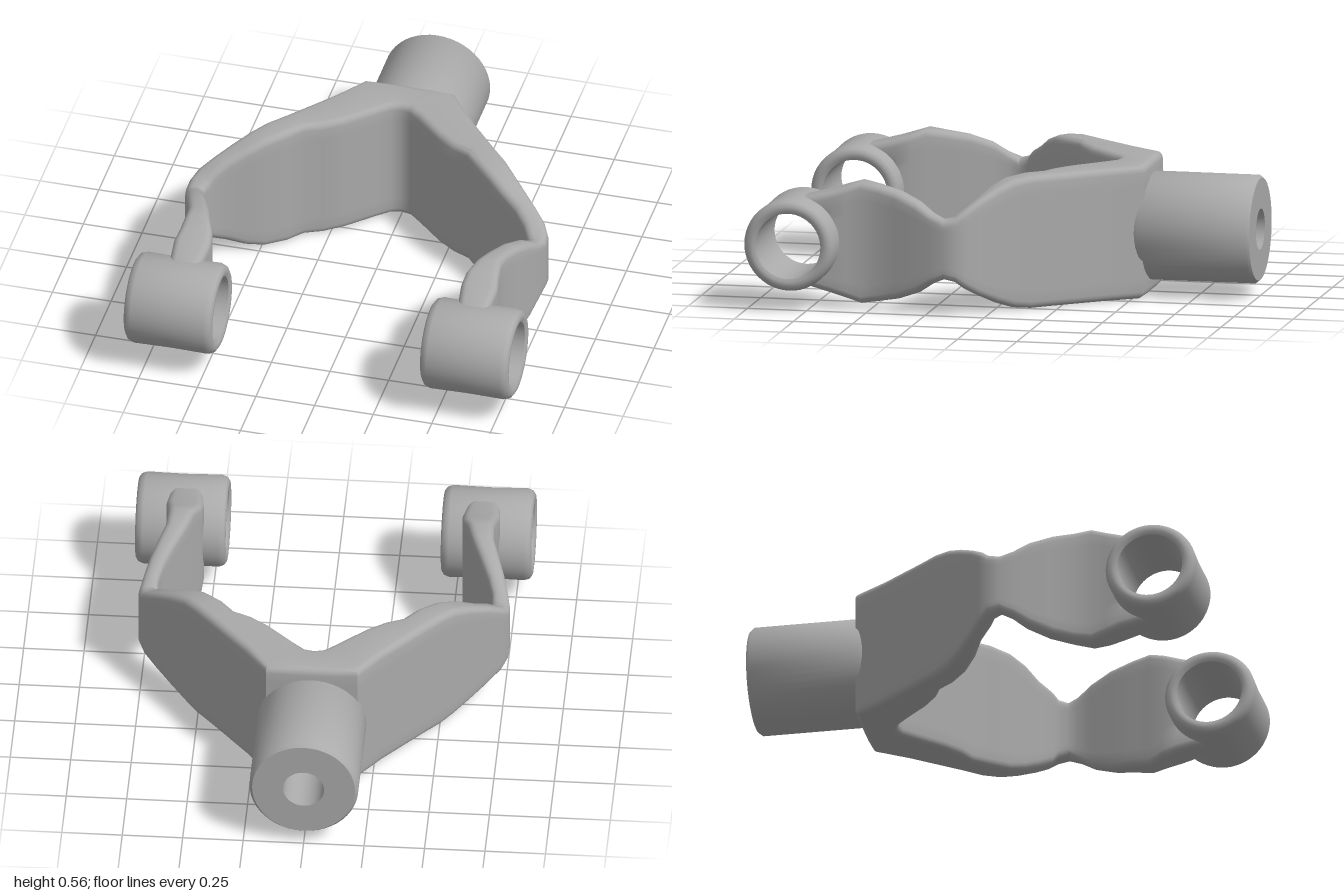
import * as THREE from 'three';
import { toCreasedNormals } from 'three/addons/utils/BufferGeometryUtils.js';

const AXIS_Y = 0.284; // common height of the hub, fork and eyelets
const EYE_Z = 0.815;
const EYE_X = 0.632;

// Closed lathe: [radius, height] pairs around the profile, bottom to top on the outside.
function turned(pairs) {
  const points = pairs.map(([r, h]) => new THREE.Vector2(r, h));
  return toCreasedNormals(new THREE.LatheGeometry(points, 48), 0.7);
}

// Rounded rectangle as [across, up] points, counter-clockwise.
function roundedSection(width, halfHeight) {
  const r = Math.min(0.03, width * 0.42);
  const w = width / 2 - r, h = halfHeight - r;
  const ring = [];
  const corners = [[w, h], [-w, h], [-w, -h], [w, -h]];
  corners.forEach(([cx, cy], k) => {
    for (let i = 0; i <= 4; i++) {
      const a = (k + i / 4) * Math.PI / 2;
      ring.push([cx + r * Math.cos(a), cy + r * Math.sin(a)]);
    }
    // extra points along the tall sides
    if (k % 2 === 1) {
      const side = k === 1 ? -1 : 1;
      for (let i = 1; i < 10; i++) {
        ring.push([side * (w + r), side * h * (1 - i / 5) * -1]);
      }
    }
  });
  return ring;
}

// Half of the fork: outer x, outer z, inner x, inner z, half height.
const HALF_FORK = [
  [0, -0.55, 0, -0.4, 0.278],
  [0.1, -0.55, 0.04, -0.39, 0.278],
  [0.19, -0.545, 0.09, -0.345, 0.278],
  [0.28, -0.42, 0.2, -0.24, 0.278],
  [0.36, -0.325, 0.275, -0.185, 0.278],
  [0.44, -0.23, 0.345, -0.155, 0.278],
  [0.51, -0.15, 0.4, -0.09, 0.278],
  [0.56, -0.09, 0.475, -0.02, 0.268],
  [0.62, -0.03, 0.54, 0.03, 0.24],
  [0.69, 0.035, 0.61, 0.07, 0.2],
  [0.74, 0.08, 0.66, 0.12, 0.165],
  [0.765, 0.12, 0.675, 0.14, 0.135],
  [0.768, 0.17, 0.69, 0.175, 0.125],
  [0.755, 0.23, 0.69, 0.215, 0.148],
  [0.735, 0.3, 0.67, 0.27, 0.19],
  [0.705, 0.39, 0.63, 0.36, 0.225],
  [0.68, 0.47, 0.59, 0.46, 0.243],
  [0.675, 0.54, 0.565, 0.54, 0.255],
  [0.68, 0.6, 0.54, 0.6, 0.235],
  [0.69, 0.66, 0.535, 0.66, 0.215],
  [0.68, 0.78, 0.55, 0.78, 0.185],
];

function forkGeometry() {
  const mirrored = HALF_FORK.slice(1).reverse()
    .map(([ox, oz, ix, iz, h]) => [-ox, oz, -ix, iz, h]);
  const sections = [...mirrored, ...HALF_FORK];
  const positions = [], indices = [];
  let count = 0;
  for (const [ox, oz, ix, iz, h] of sections) {
    const width = Math.hypot(ox - ix, oz - iz);
    const ring = roundedSection(width, h);
    count = ring.length;
    for (const [u, v] of ring) {
      const t = u / width + 0.5;
      const x = ix + (ox - ix) * t;
      let z = iz + (oz - iz) * t;
      // stop the tips inside the eyelet wall, clear of the bore
      if (z > 0.5 && Math.abs(v) < 0.155) {
        z = Math.min(z, EYE_Z - Math.sqrt(0.155 ** 2 - v * v));
      }
      positions.push(x, AXIS_Y + v, z);
    }
  }
  for (let s = 0; s < sections.length - 1; s++) {
    for (let i = 0; i < count; i++) {
      const j = (i + 1) % count;
      const a = s * count + i, b = s * count + j;
      indices.push(a, b, a + count, b, b + count, a + count);
    }
  }
  const geometry = new THREE.BufferGeometry();
  geometry.setAttribute('position', new THREE.Float32BufferAttribute(positions, 3));
  geometry.setIndex(indices);
  return toCreasedNormals(geometry, 0.7);
}

export function createModel() {
  const group = new THREE.Group();
  const grey = new THREE.MeshStandardMaterial({ color: 0xaaaaaa });
  grey.name = 'plain grey';

  const add = (name, geometry) => {
    const mesh = new THREE.Mesh(geometry, grey);
    mesh.name = name;
    group.add(mesh);
    return mesh;
  };

  // Forked plate joining the hub to both eyelets
  add('fork', forkGeometry());

  // Rear hub with a blind bore, open at the back
  const hub = add('hub', turned([
    [0, -0.49], [0.2, -0.49], [0.225, -0.53], [0.225, -0.985],
    [0.213, -1], [0.085, -1], [0.085, -0.58], [0, -0.58],
  ].map(([r, z]) => [r, -z])));
  hub.rotation.x = -Math.PI / 2;
  hub.position.y = AXIS_Y;

  // Sideways eyelets at the tips
  for (const side of [1, -1]) {
    const eyelet = add(side > 0 ? 'leftEyelet' : 'rightEyelet', turned([
      [0.137, -0.18], [0.15, -0.187], [0.167, -0.187], [0.182, -0.177],
      [0.19, -0.155], [0.187, 0], [0.19, 0.155], [0.182, 0.177],
      [0.167, 0.187], [0.15, 0.187], [0.137, 0.18], [0.137, -0.18],
    ]));
    eyelet.rotation.z = Math.PI / 2;
    eyelet.position.set(side * EYE_X, AXIS_Y, EYE_Z);
  }
  return group;
}
